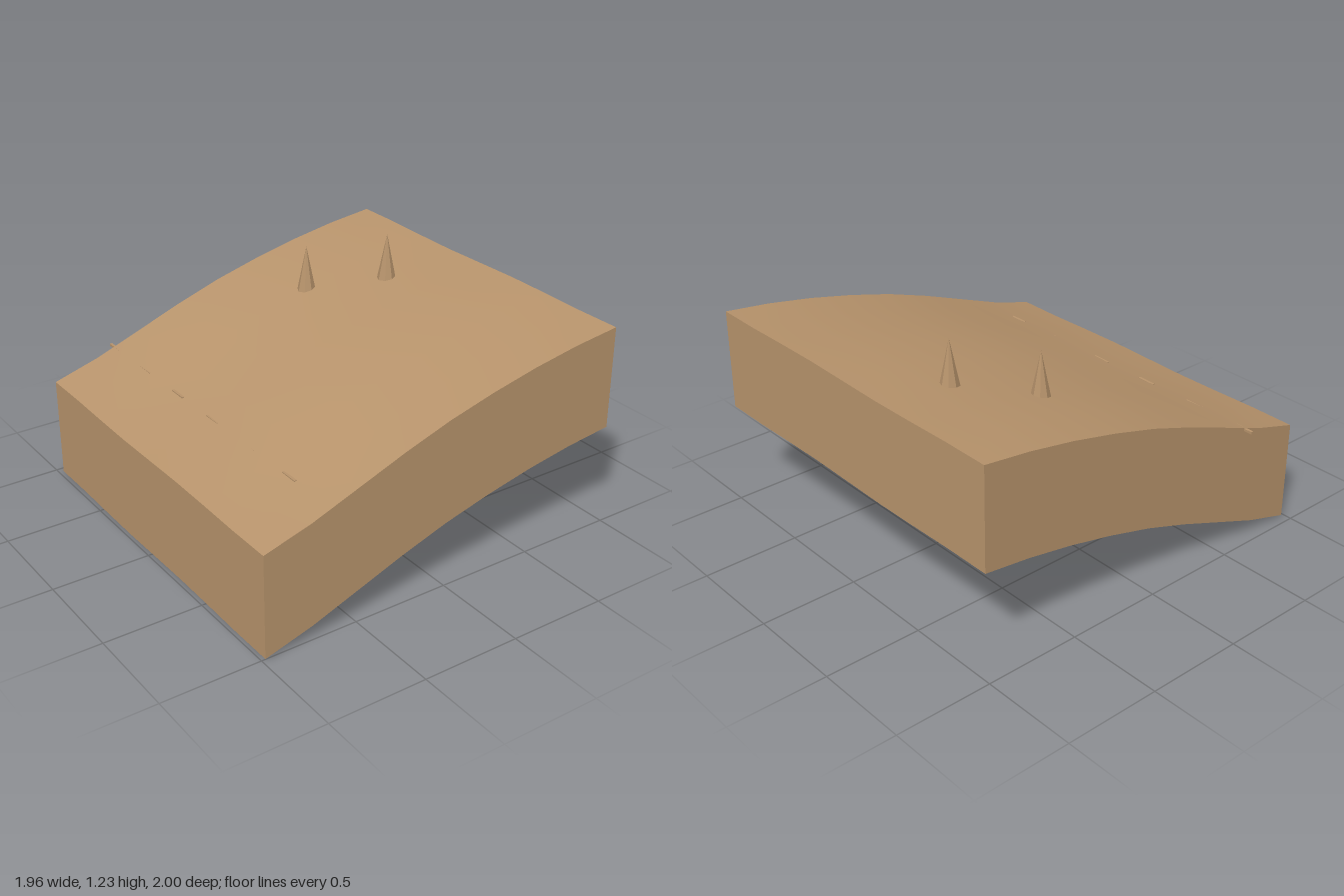
import * as THREE from 'three';

// Hill profile: heights at evenly spaced x stations from right to left
const PROFILE = [0.528, 0.6, 0.692, 0.784, 0.866, 0.932, 0.987, 1.03, 1.06];
const X = 0.98, Z0 = -0.955, Z1 = 1, N = 8, DEPTH = 0.524;

const stationX = i => -X + (2 * X * i) / N;
const stationZ = j => Z0 + ((Z1 - Z0) * j) / N;
const height = (i, j) => PROFILE[i] + 0.004 * Math.cos((stationZ(j) - 0.3) * 5.7);

// Indexed strip surface through a grid of points
function gridSurface(nu, nv, point) {
  const pos = [], idx = [];
  for (let v = 0; v <= nv; v++) for (let u = 0; u <= nu; u++) pos.push(...point(u, v));
  for (let v = 0; v < nv; v++) for (let u = 0; u < nu; u++) {
    const a = v * (nu + 1) + u, b = a + 1, c = a + nu + 1, d = c + 1;
    idx.push(a, c, b, b, c, d);
  }
  const g = new THREE.BufferGeometry();
  g.setAttribute('position', new THREE.Float32BufferAttribute(pos, 3));
  g.setIndex(idx);
  g.computeVertexNormals();
  return g;
}

export function createModel() {
  const model = new THREE.Group();
  model.name = 'hillside';
  const earth = new THREE.MeshStandardMaterial({ color: 0xb8946c, side: THREE.DoubleSide });
  earth.name = 'tan earth';

  const add = (name, geometry, x = 0, y = 0, z = 0) => {
    const mesh = new THREE.Mesh(geometry, earth);
    mesh.name = name;
    mesh.position.set(x, y, z);
    model.add(mesh);
    return mesh;
  };

  // Rolling ground surface
  add('ground', gridSurface(N, N, (i, j) => [stationX(i), height(i, j), stationZ(j)]));

  // Skirt walls hang below the rim and leave the underside open
  const wall = (name, cell) => add(name, gridSurface(N, 1, (u, v) => {
    const [i, j] = cell(u);
    return [stationX(i), height(i, j) - v * DEPTH, stationZ(j)];
  }));
  wall('frontWall', u => [u, N]);
  wall('backWall', u => [N - u, 0]);
  wall('leftWall', u => [N, N - u]);
  wall('rightWall', u => [0, u]);

  // Row of thin dashes set into the slope; the last overhangs the back edge
  for (let k = 0; k < 6; k++) {
    add('dash', new THREE.BoxGeometry(0.013, 0.012, 0.1), -0.633, 0.633, -0.95 + 0.325 * k);
  }

  // Two faceted conical trees, partly sunk into the ground
  for (const [x, apex, z] of [[0.24, 1.155, -0.47], [0.567, 1.228, -0.222]]) {
    const cone = new THREE.ConeGeometry(0.051, 0.25, 8).toNonIndexed();
    cone.computeVertexNormals();
    add('tree', cone, x, apex - 0.125, z);
  }

  return model;
}
